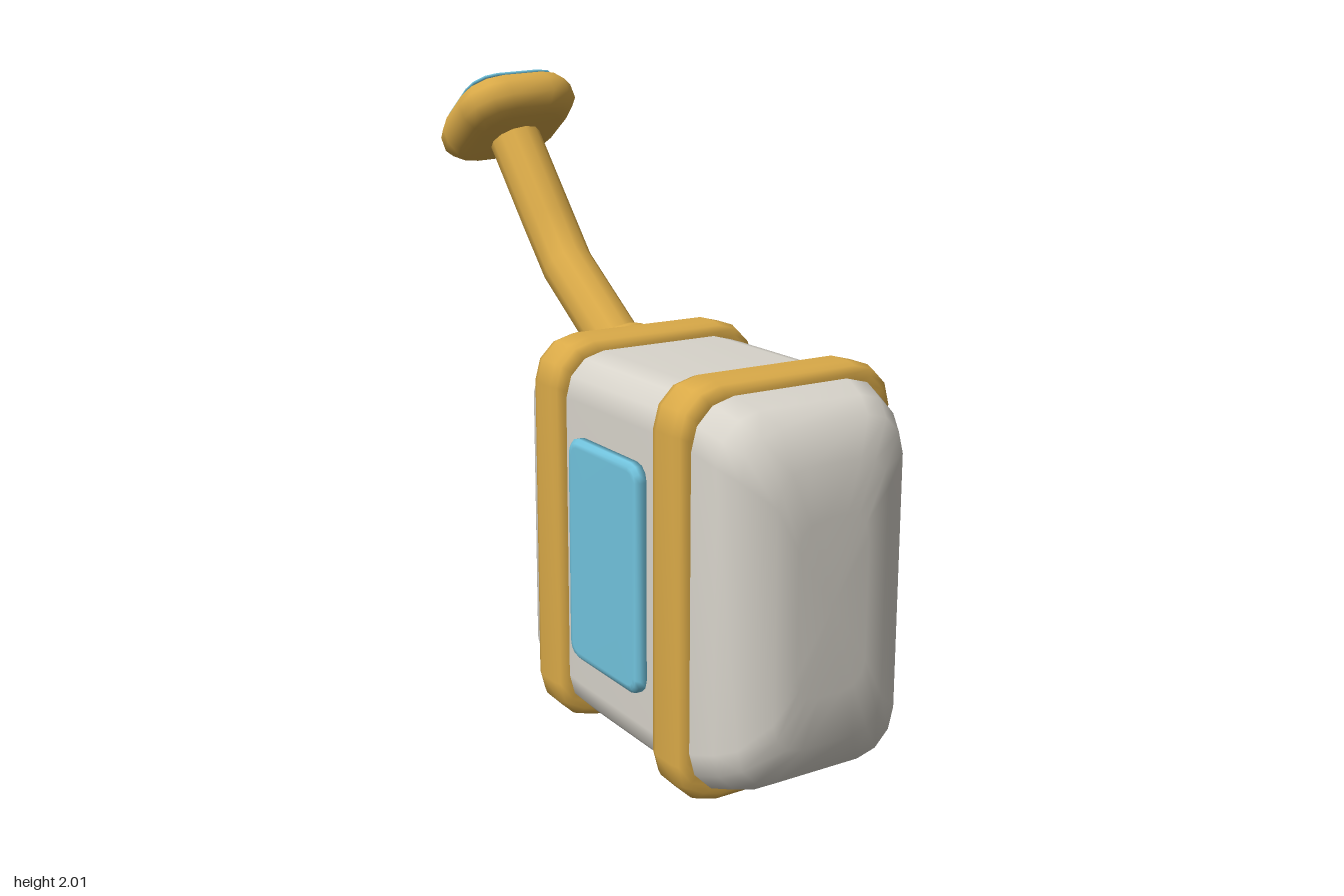
import * as THREE from 'three';

const shellMat = new THREE.MeshStandardMaterial({ color: 0xd8d4cb });
shellMat.name = 'pale grey';
const trimMat = new THREE.MeshStandardMaterial({ color: 0xdaaa48 });
trimMat.name = 'golden yellow';
const glassMat = new THREE.MeshStandardMaterial({ color: 0x72c4de });
glassMat.name = 'sky blue';

// Smooth loft of rounded rectangles along +z; each ring is [z, halfWidth, halfHeight, cornerRadius]
function loft(rings, capped = true, steps = 3) {
  const pos = [], idx = [], n = 4 * (steps + 1);
  for (const [z, w, h, r] of rings) {
    for (let c = 0; c < 4; c++) {
      const sx = c === 0 || c === 3 ? 1 : -1, sy = c < 2 ? 1 : -1;
      for (let s = 0; s <= steps; s++) {
        const a = (c + s / steps) * Math.PI / 2;
        pos.push(sx * (w - r) + r * Math.cos(a), sy * (h - r) + r * Math.sin(a), z);
      }
    }
  }
  for (let k = 0; k < rings.length - 1; k++) {
    for (let i = 0; i < n; i++) {
      const a = k * n + i, b = k * n + (i + 1) % n;
      idx.push(a, b, b + n, a, b + n, a + n);
    }
  }
  if (capped) {
    const last = (rings.length - 1) * n, c0 = rings.length * n;
    pos.push(0, 0, rings[0][0], 0, 0, rings[rings.length - 1][0]);
    for (let i = 0; i < n; i++) {
      const j = (i + 1) % n;
      idx.push(c0, j, i, c0 + 1, last + i, last + j);
    }
  }
  const g = new THREE.BufferGeometry();
  g.setAttribute('position', new THREE.Float32BufferAttribute(pos, 3));
  g.setIndex(idx);
  g.computeVertexNormals();
  return g;
}

// Mirrors half of a ring list so both ends match
const mirrored = (half) => [
  ...half.map(([z, ...rest]) => [-z, ...rest]),
  ...half.slice().reverse(),
];

// Orientation whose local z follows n while local x stays close to world x
function facing(n) {
  const x = new THREE.Vector3(1, 0, 0).addScaledVector(n, -n.x).normalize();
  const y = new THREE.Vector3().crossVectors(n, x);
  return new THREE.Quaternion().setFromRotationMatrix(new THREE.Matrix4().makeBasis(x, y, n));
}

export function createModel() {
  const model = new THREE.Group();
  model.name = 'canister';
  const add = (name, geometry, material, x, y, z) => {
    const mesh = new THREE.Mesh(geometry, material);
    mesh.name = name;
    mesh.position.set(x, y, z);
    model.add(mesh);
    return mesh;
  };

  // Body with softly rounded ends
  add('body', loft(mirrored([
    [0.63, 0.12, 0.26, 0.08],
    [0.622, 0.19, 0.41, 0.1],
    [0.575, 0.278, 0.515, 0.13],
    [0.51, 0.312, 0.555, 0.14],
    [0.43, 0.333, 0.58, 0.14],
    [0.2, 0.335, 0.582, 0.13],
  ])), shellMat, 0, 0.625, 0.312);

  // Two rounded bands around the body
  const bandGeometry = loft(mirrored([
    [0.078, 0.315, 0.565, 0.09],
    [0.08, 0.342, 0.592, 0.12],
    [0.067, 0.361, 0.611, 0.13],
    [0.04, 0.37, 0.62, 0.14],
  ]), false);
  add('frontBand', bandGeometry, trimMat, 0, 0.625, 0.653);
  add('rearBand', bandGeometry, trimMat, 0, 0.625, -0.028);

  // Raised panel on the right side
  const panel = add('sidePanel', loft([
    [0, 0.2, 0.35, 0.05],
    [0.025, 0.2, 0.35, 0.05],
    [0.036, 0.188, 0.338, 0.04],
    [0.037, 0.175, 0.325, 0.03],
  ]), glassMat, -0.332, 0.625, 0.31);
  panel.rotation.y = -Math.PI / 2;

  // Collar where the neck leaves the body
  const collar = add('neckCollar', new THREE.SphereGeometry(1, 16, 10), trimMat, 0, 1.15, -0.19);
  collar.scale.set(0.12, 0.12, 0.05);
  collar.quaternion.copy(facing(new THREE.Vector3(0, 0.72, -0.69).normalize()));

  // Bent neck
  const base = new THREE.Vector3(-0.018, 1.16, -0.17);
  const bend = new THREE.Vector3(-0.048, 1.39, -0.45);
  const top = new THREE.Vector3(-0.09, 1.82, -0.752);
  const path = new THREE.CurvePath();
  path.add(new THREE.LineCurve3(base, bend));
  path.add(new THREE.LineCurve3(bend, top));
  add('neck', new THREE.TubeGeometry(path, 5, 0.086, 12, false), trimMat, 0, 0, 0);

  // Tilted head with a flat lens on top
  const normal = new THREE.Vector3(-0.06, 0.83, -0.56).normalize();
  const head = add('head', loft([
    [-0.075, 0.14, 0.14, 0.08],
    [-0.06, 0.175, 0.175, 0.11],
    [-0.025, 0.207, 0.207, 0.13],
    [0.025, 0.207, 0.207, 0.13],
    [0.062, 0.182, 0.182, 0.11],
    [0.075, 0.15, 0.15, 0.09],
  ]), trimMat, -0.097, 1.85, -0.755);
  head.quaternion.copy(facing(normal));
  const lens = new THREE.Mesh(loft([
    [0.07, 0.163, 0.163, 0.085],
    [0.081, 0.163, 0.163, 0.085],
    [0.088, 0.152, 0.152, 0.08],
    [0.089, 0.14, 0.14, 0.07],
  ]), glassMat);
  lens.name = 'lens';
  head.add(lens);

  return model;
}
